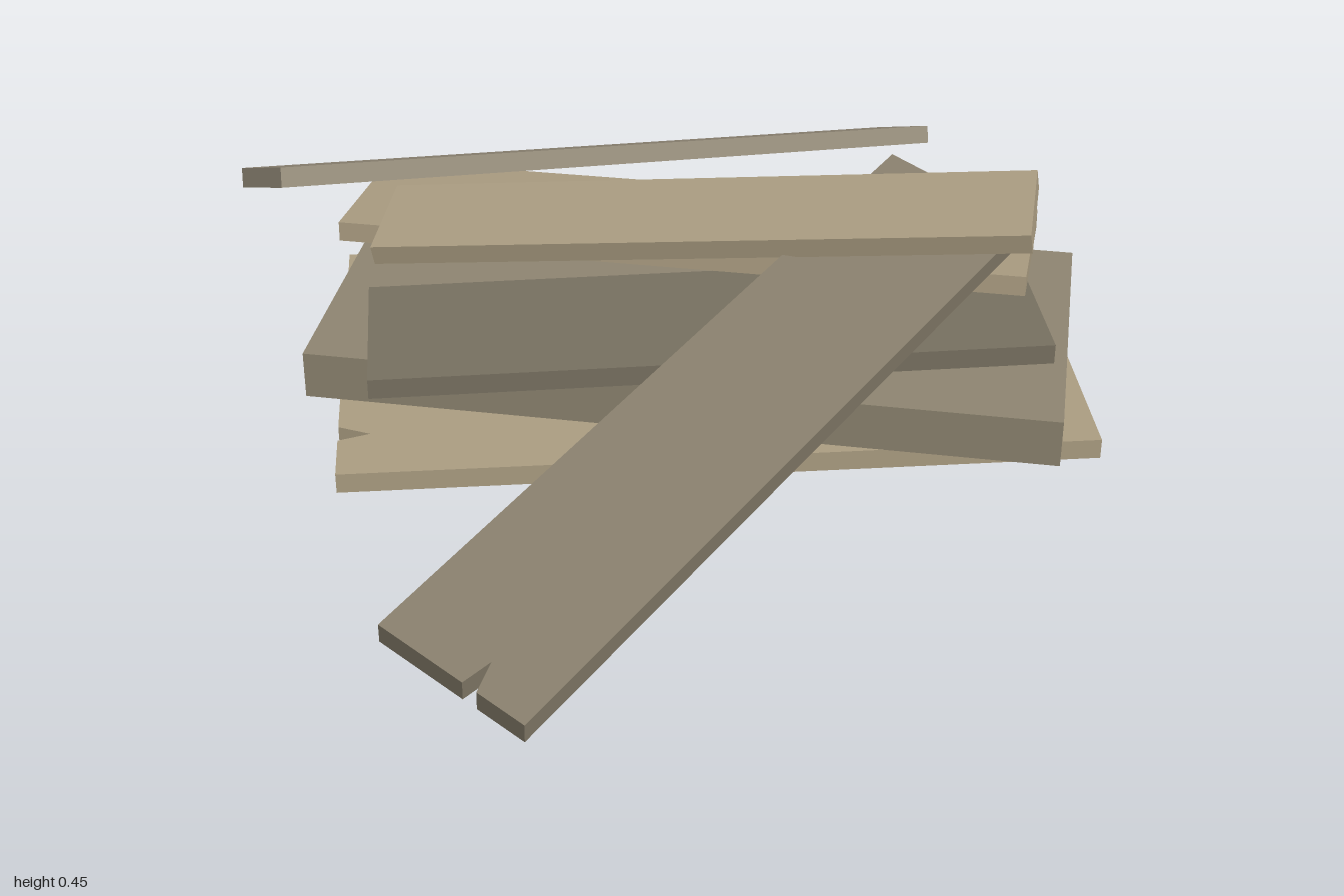
import * as THREE from 'three';

const v3 = (p) => new THREE.Vector3(...p);

// A board given by three corners of its top face: a, b across the width, d along the length.
// notch = [u1, uApex, depth, u2]: a split cut into the far end, measured from the d corner.
function board(name, color, thickness, a, b, d, notch) {
  const origin = v3(a);
  const across = v3(b).sub(origin);
  const width = across.length();
  across.normalize();
  const along = v3(d).sub(origin);
  along.addScaledVector(across, -along.dot(across));
  const length = along.length();
  along.normalize();
  const up = across.clone().cross(along);

  const outline = [[0, 0], [width, 0], [width, length]];
  if (notch) {
    const [u1, apex, depth, u2] = notch;
    outline.push([u2, length], [apex, length - depth], [u1, length]);
  }
  outline.push([0, length]);

  const shape = new THREE.Shape(outline.map(([x, y]) => new THREE.Vector2(x, y)));
  const geometry = new THREE.ExtrudeGeometry(shape, { depth: thickness, bevelEnabled: false });
  geometry.translate(0, 0, -thickness);
  geometry.applyMatrix4(new THREE.Matrix4().makeBasis(across, along, up).setPosition(origin));

  const mesh = new THREE.Mesh(geometry, new THREE.MeshStandardMaterial({ color, flatShading: true }));
  mesh.name = name;
  return mesh;
}

export function createModel() {
  const pile = new THREE.Group();
  pile.name = 'plankPile';
  const tan = 0xab9d82, grey = 0x8e8571, dark = 0x777060;

  pile.add(
    // Flat boards stacked on the ground
    board('basePlank', tan, 0.04, [0.79, 0.04, -0.38], [0.15, 0.04, -0.87], [-0.07, 0.04, 0.74],
      [0.11, 0.128, 0.06, 0.155]),
    board('thickBeam', grey, 0.095, [-0.71, 0.135, 0.14], [-0.32, 0.135, 0.63], [0.4, 0.135, -0.75]),
    board('darkPlank', dark, 0.04, [-0.38, 0.175, 0.43], [-0.11, 0.175, 0.63], [0.39, 0.175, -0.59]),
    // Tilted boards lying across the stack
    board('splitPlank', tan, 0.04, [-0.79, 0.17, 0.08], [-0.59, 0.203, 0.35], [0.31, 0.2, -0.74],
      [0.078, 0.088, 0.116, 0.11]),
    board('topPlank', tan, 0.041, [-0.55, 0.26, 0.23], [-0.425, 0.23, 0.39], [0.46, 0.425, -0.54]),
    // Boards leaning on the sides
    board('rightLeaningPlank', 0x867d6b, 0.045, [0.46, 0.31, -0.52], [0.16, 0.365, -0.46], [0.67, 0.052, 0.93],
      [0.1, 0.12, 0.06, 0.13]),
    board('leftLeaningPlank', 0x968d7b, 0.038, [-0.615, 0.385, 0.545], [-0.46, 0.45, 0.555], [-0.39, 0.035, -1.0]),
  );
  return pile;
}
